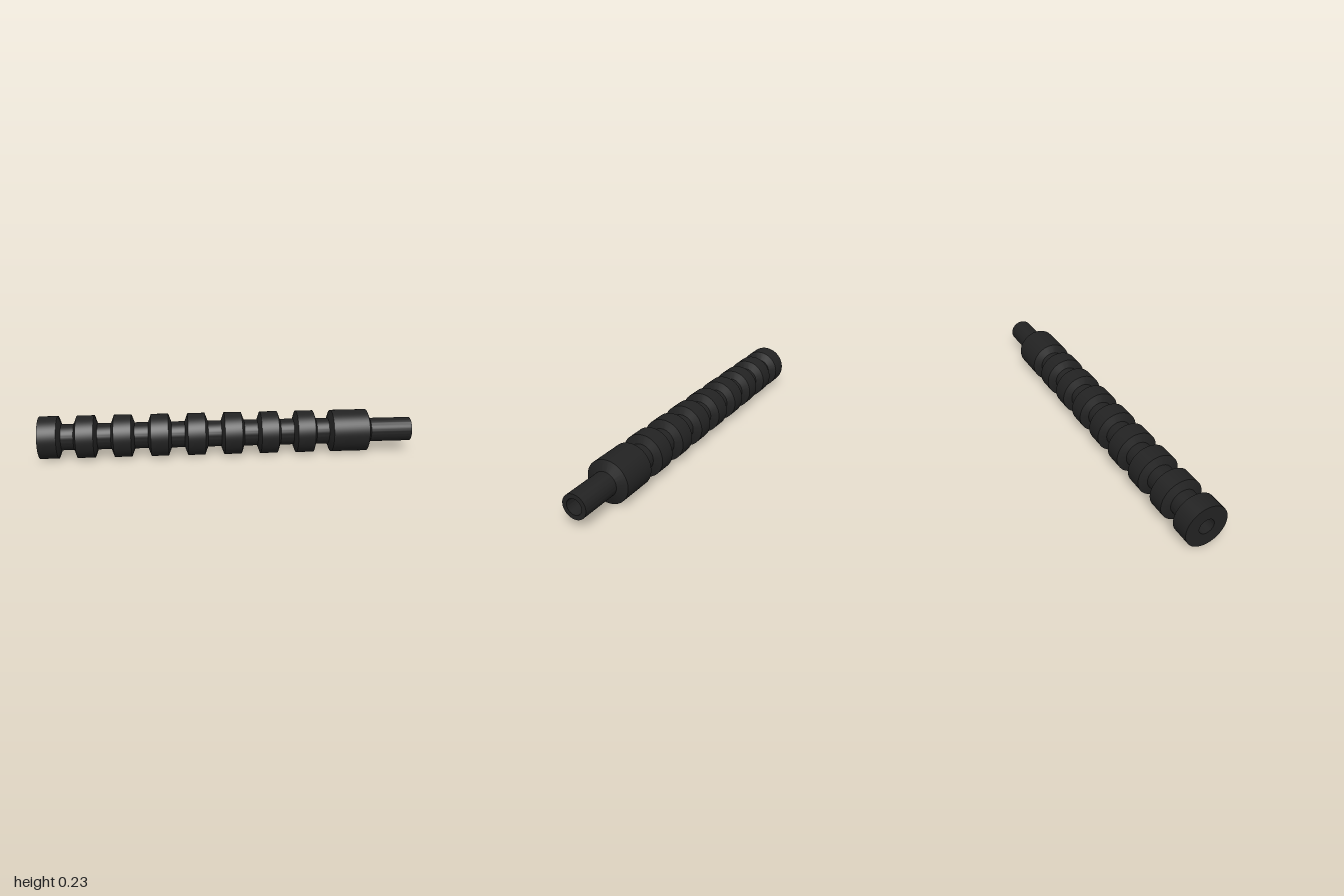
import * as THREE from 'three';
import { toCreasedNormals } from 'three/addons/utils/BufferGeometryUtils.js';

const RIB = 0.113, GROOVE = 0.07, SPIGOT = 0.064, BORE = 0.041;
const SEGMENTS = 64;

export function createModel() {
  const group = new THREE.Group();
  group.name = 'ribbedSleeve';
  const rubber = new THREE.MeshStandardMaterial({ color: 0x222222 });
  rubber.name = 'blackRubber';

  // Turn a profile of [x, radius] pairs around the long axis
  function turned(name, profile) {
    const points = profile.map(([x, r]) => new THREE.Vector2(r, x));
    const geometry = toCreasedNormals(new THREE.LatheGeometry(points, SEGMENTS), 0.5);
    geometry.rotateZ(-Math.PI / 2);
    const mesh = new THREE.Mesh(geometry, rubber);
    mesh.name = name;
    mesh.position.y = RIB;
    group.add(mesh);
  }

  // Sleeve body: end collar, seven chamfered ribs, long collar
  const body = [[-1, BORE], [-1, RIB], [-0.902, RIB], [-0.885, GROOVE]];
  for (let i = 0; i < 7; i++) {
    const c = -0.757 + i * 0.1955;
    body.push([c - 0.062, GROOVE], [c - 0.046, RIB], [c + 0.046, RIB], [c + 0.062, GROOVE]);
  }
  body.push([0.545, GROOVE], [0.562, RIB], [0.755, RIB], [0.777, SPIGOT]);
  turned('ribbedBody', body);

  // Narrow tube at the end, with its rim
  turned('endTube', [[0.777, SPIGOT], [1, SPIGOT], [1, BORE]]);

  // Hole through the whole length, facing inward
  turned('bore', [[1, BORE], [-1, BORE]]);

  return group;
}
